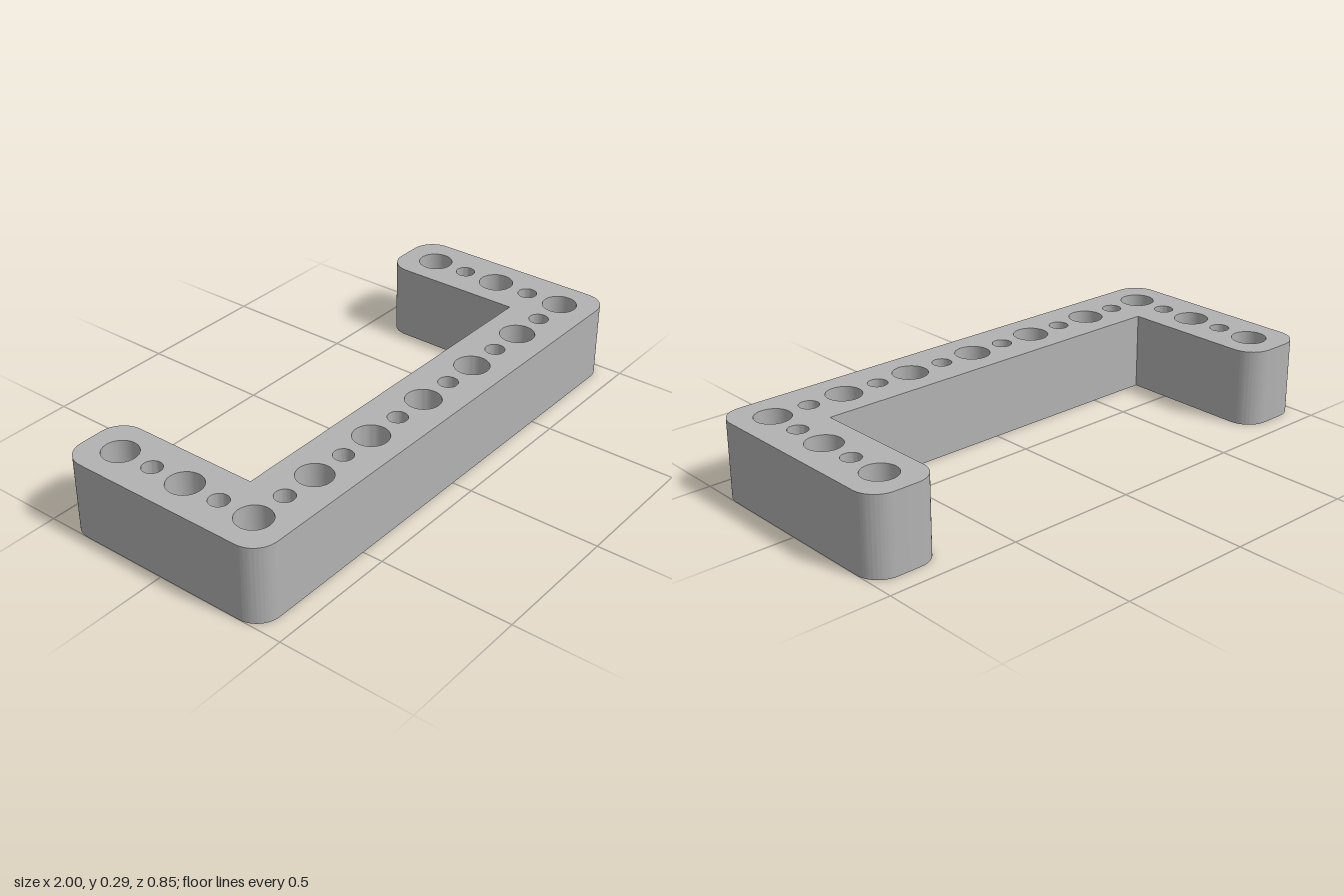
import * as THREE from 'three';
import { toCreasedNormals } from 'three/addons/utils/BufferGeometryUtils.js';

const PITCH = 0.2883;   // spacing of the large holes, also the height
const HALF_X = 1, HALF_Z = 0.4234;
const WIDTH = 0.27;     // width of each bar of the U
const CORNER = 0.09;
const LARGE = 0.0645, SMALL = 0.036;

// U outline in plan, with shape y = -z (the long bar is at the front)
function outline() {
  const s = new THREE.Shape();
  const inX = HALF_X - WIDTH, inY = -HALF_Z + WIDTH, r = CORNER, q = Math.PI / 2;
  s.moveTo(-HALF_X + r, -HALF_Z);
  s.absarc(HALF_X - r, -HALF_Z + r, r, -q, 0, false);
  s.absarc(HALF_X - r, HALF_Z - r, r, 0, q, false);
  s.absarc(inX + r, HALF_Z - r, r, q, 2 * q, false);
  s.lineTo(inX, inY);
  s.lineTo(-inX, inY);
  s.absarc(-inX - r, HALF_Z - r, r, 0, q, false);
  s.absarc(-HALF_X + r, HALF_Z - r, r, q, 2 * q, false);
  s.absarc(-HALF_X + r, -HALF_Z + r, r, 2 * q, 3 * q, false);
  return s;
}

export function createModel() {
  const group = new THREE.Group();
  group.name = 'perforatedFrame';
  const grey = new THREE.MeshStandardMaterial({ color: 0xb2b2b2 });
  grey.name = 'light grey';

  const shape = outline();
  const addHole = (x, y, r) => {
    const hole = new THREE.Path();
    hole.absarc(x, y, r, 0, Math.PI * 2, true);
    shape.holes.push(hole);
  };

  // Alternating large and small holes along the front bar
  for (let i = -6; i <= 6; i++) addHole(i * PITCH / 2, -PITCH, i % 2 ? SMALL : LARGE);
  // Alternating holes up both arms
  for (const side of [-1, 1])
    for (let j = -1; j <= 2; j++) addHole(side * 3 * PITCH, j * PITCH / 2, j % 2 ? SMALL : LARGE);

  const geometry = new THREE.ExtrudeGeometry(shape, { depth: PITCH, bevelEnabled: false, curveSegments: 20 });
  geometry.rotateX(-Math.PI / 2);
  const frame = new THREE.Mesh(toCreasedNormals(geometry, 0.6), grey);
  frame.name = 'frame';
  group.add(frame);
  return group;
}
